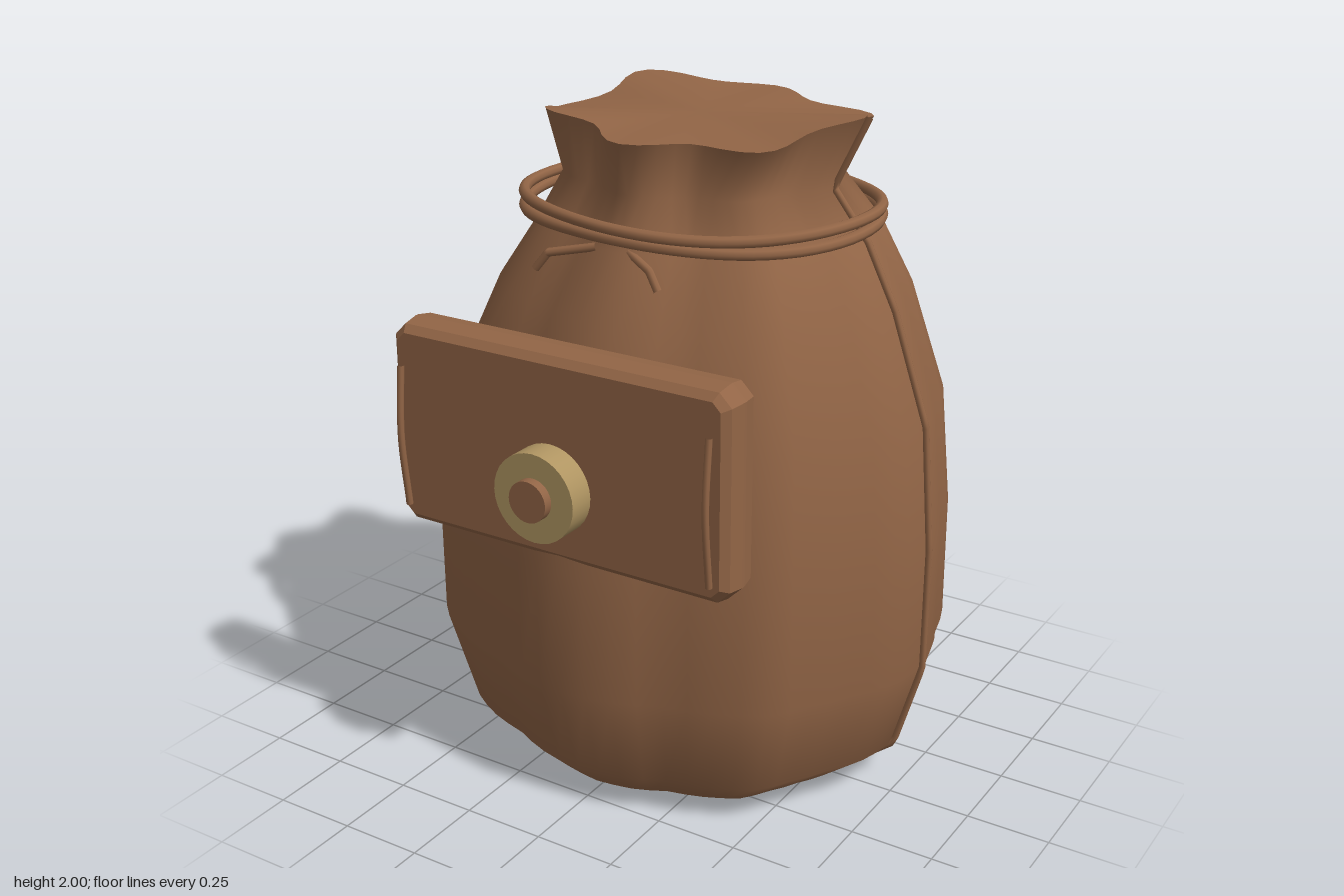
import * as THREE from 'three';

// Sack cross-sections: [y, left x, right x, back z, front z, share of rim folds]
const RINGS = [
  [0.01, -0.60, 0.57, -0.54, 0.43, 0],
  [0.12, -0.72, 0.71, -0.65, 0.545, 0],
  [0.40, -0.82, 0.79, -0.715, 0.605, 0],
  [0.78, -0.82, 0.79, -0.705, 0.605, 0],
  [1.15, -0.74, 0.76, -0.655, 0.57, 0],
  [1.47, -0.59, 0.65, -0.575, 0.46, 0.05],
  [1.65, -0.47, 0.56, -0.50, 0.37, 0.15],
  [1.79, -0.39, 0.45, -0.42, 0.30, 0.4],
  [1.95, -0.46, 0.55, -0.475, 0.36, 1],
];
// Uneven folds round the body (every 11.25 degrees) and the rim (every 22.5), as radius factors
const BODY_FOLDS = [
  1, 0.985, 0.955, 0.96, 0.995, 0.97, 0.94, 0.98, 1, 0.98, 0.945, 0.97, 0.985, 0.975, 0.95, 0.95,
  1, 0.98, 0.95, 0.97, 1.02, 1.03, 1, 0.96, 1.01, 1.005, 0.985, 0.99, 1.05, 1.06, 1.005, 1,
];
const RIM_FOLDS = [1, 0.88, 0.98, 0.8, 1, 0.8, 0.94, 0.85, 1, 0.85, 1.07, 0.88, 1.01, 0.86, 1.05, 0.89];
// Rim height every 45 degrees
const RIM_HEIGHT = [1.995, 1.94, 1.945, 1.975, 1.91, 1.98, 1.955, 1.935];
const SEG = 64;

// Smooth lookup in a table that wraps around the sack
function around(table, i) {
  const f = (i / SEG) * table.length, n = Math.floor(f);
  const s = (1 - Math.cos((f - n) * Math.PI)) / 2;
  return THREE.MathUtils.lerp(table[n % table.length], table[(n + 1) % table.length], s);
}

function sackPoint(row, i) {
  const [y, xl, xr, zb, zf, rim] = RINGS[row];
  const t = (i / SEG) * Math.PI * 2;
  const k = THREE.MathUtils.lerp(around(BODY_FOLDS, i), around(RIM_FOLDS, i), rim);
  return new THREE.Vector3(
    (xl + xr) / 2 + ((xr - xl) / 2) * k * Math.cos(t),
    row === RINGS.length - 1 ? around(RIM_HEIGHT, i) : y,
    (zb + zf) / 2 + ((zf - zb) / 2) * k * Math.sin(t));
}

function makeGeometry(points, index) {
  const g = new THREE.BufferGeometry().setFromPoints(points);
  g.setIndex(index);
  g.computeVertexNormals();
  return g;
}

function sackSides() {
  const pts = [], idx = [];
  RINGS.forEach((_, r) => {
    for (let i = 0; i < SEG; i++) pts.push(sackPoint(r, i));
  });
  for (let r = 0; r < RINGS.length - 1; r++) {
    for (let i = 0; i < SEG; i++) {
      const a = r * SEG + i, b = r * SEG + ((i + 1) % SEG), c = a + SEG, d = b + SEG;
      idx.push(a, c, b, b, c, d);
    }
  }
  return makeGeometry(pts, idx);
}

function sackCap(row, up) {
  const [, xl, xr, zb, zf] = RINGS[row];
  const pts = [new THREE.Vector3((xl + xr) / 2, up ? 1.955 : 0.01, (zb + zf) / 2)], idx = [];
  for (let i = 0; i < SEG; i++) {
    pts.push(sackPoint(row, i));
    const a = i + 1, b = ((i + 1) % SEG) + 1;
    idx.push(0, ...(up ? [b, a] : [a, b]));
  }
  return makeGeometry(pts, idx);
}

// Round strand through a few points; tension 0 keeps it straight between them
function strand(points, radius, tension = 0.5, closed = false, steps = 32) {
  const curve = new THREE.CatmullRomCurve3(
    points.map((p) => new THREE.Vector3(...p)), closed, 'catmullrom', tension);
  return new THREE.TubeGeometry(curve, steps, radius, 8, closed);
}

export function createModel() {
  const model = new THREE.Group();
  model.name = 'sack';
  const leather = new THREE.MeshStandardMaterial({ color: 0x926546 });
  leather.name = 'brown leather';
  const brass = new THREE.MeshStandardMaterial({ color: 0xb09562 });
  brass.name = 'dull brass';

  const add = (name, geometry, material = leather) => {
    const mesh = new THREE.Mesh(geometry, material);
    mesh.name = name;
    model.add(mesh);
    return mesh;
  };

  // Gathered sack body with closed top and base
  add('sackBody', sackSides());
  add('sackTop', sackCap(RINGS.length - 1, true));
  add('sackBase', sackCap(0, false));

  // Seam down the left side
  add('sideSeam', strand(RINGS.map((_, r) => {
    const p = sackPoint(r, 0);
    return [p.x + 0.008, Math.max(p.y, 0.01), -0.075];
  }), 0.01, 0, false, 64));

  // Two turns of cord round the neck
  [1.712, 1.678].forEach((y, n) => {
    const pts = [];
    for (let i = 0; i < 24; i++) {
      const t = (i / 24) * Math.PI * 2;
      pts.push([0.03 + 0.532 * Math.cos(t), y + 0.008 * Math.cos(3 * t + n), -0.08 + 0.447 * Math.sin(t)]);
    }
    add('neckCord' + (n + 1), strand(pts, 0.017, 0.5, true, 72));
  });

  // Creases below the cord
  add('creaseRight', strand([[-0.22, 1.57, 0.385], [-0.18, 1.62, 0.38], [-0.04, 1.65, 0.35]], 0.012, 0));
  add('creaseLeft', strand([[0.18, 1.57, 0.385], [0.15, 1.62, 0.38], [0.06, 1.655, 0.35]], 0.012, 0));

  // Front pocket with rounded edges and cut corners
  const w = 0.525, h = 0.275, c = 0.025;
  const outline = new THREE.Shape([
    [-w + c, -h], [w - c, -h], [w, -h + c], [w, h - c],
    [w - c, h], [-w + c, h], [-w, h - c], [-w, -h + c],
  ].map(([x, y]) => new THREE.Vector2(x, y)));
  const pocket = add('pocket', new THREE.ExtrudeGeometry(outline, {
    depth: 0.01, bevelEnabled: true, bevelThickness: 0.07, bevelSize: 0.03, bevelSegments: 2,
  }));
  pocket.position.set(-0.015, 1.117, 0.53);

  // Bowed stitches near the pocket ends
  [-0.52, 0.485].forEach((x, n) => {
    add(n ? 'stitchLeft' : 'stitchRight',
      strand([[x, 0.875, 0.62], [x, 1.09, 0.64], [x, 1.30, 0.625]], 0.01));
  });

  // Round clasp with a centre stud
  const disc = (name, r, z0, z1, material) => {
    const g = new THREE.CylinderGeometry(r, r, z1 - z0, 32);
    g.rotateX(Math.PI / 2);
    add(name, g, material).position.set(-0.018, 1.04, (z0 + z1) / 2);
  };
  disc('clasp', 0.13, 0.618, 0.7, brass);
  disc('claspStud', 0.06, 0.66, 0.728, leather);

  return model;
}
